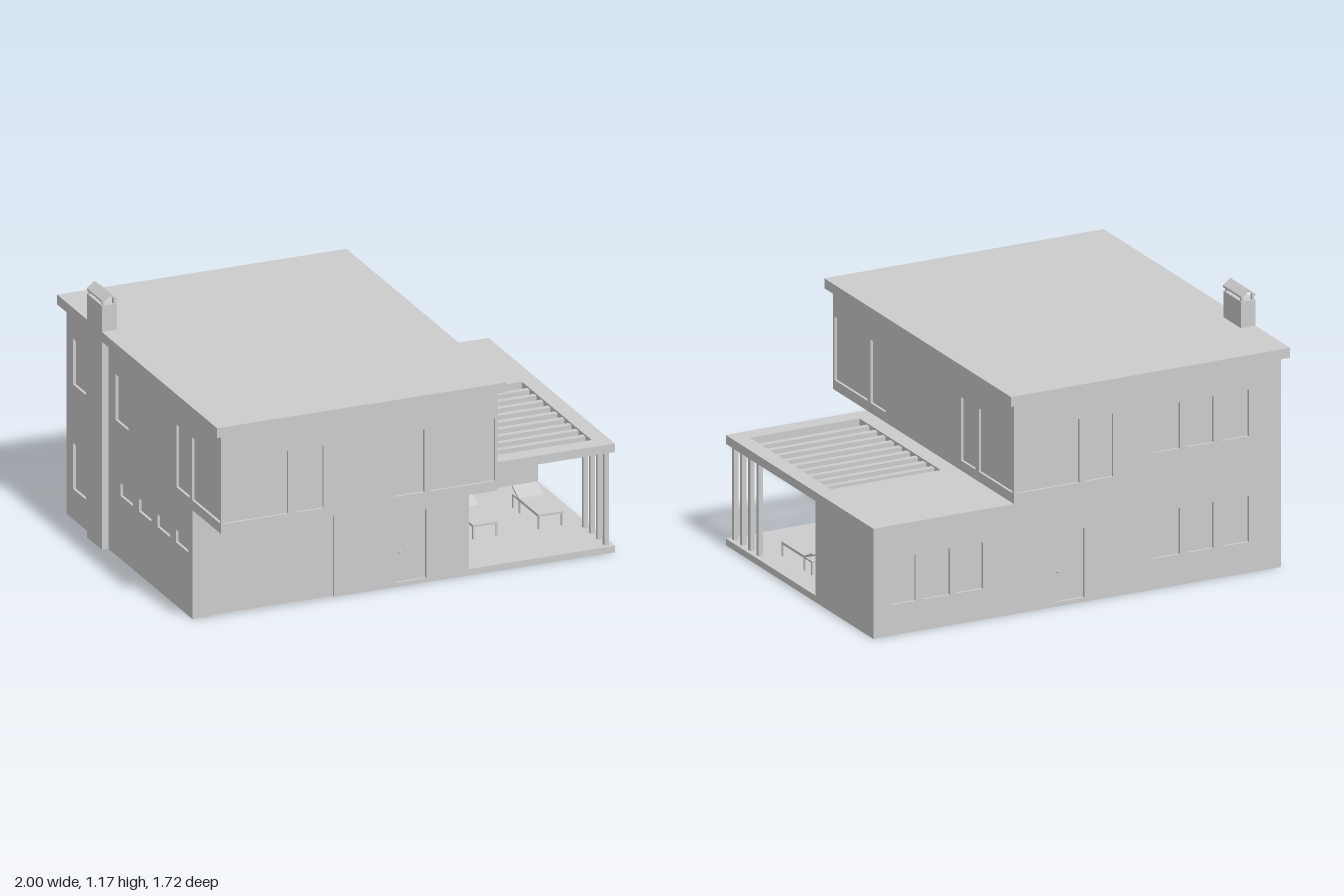
import * as THREE from 'three';

const D = 0.012; // depth of window and door reveals
const mat = new THREE.MeshStandardMaterial({ color: 0xcccccc, flatShading: true });

function add(parent, name, geo) {
  const mesh = new THREE.Mesh(geo, mat);
  mesh.name = name;
  parent.add(mesh);
  return mesh;
}

// box given by its extents
function box(parent, name, x0, x1, y0, y1, z0, z1) {
  const g = new THREE.BoxGeometry(x1 - x0, y1 - y0, z1 - z0);
  g.translate((x0 + x1) / 2, (y0 + y1) / 2, (z0 + z1) / 2);
  return add(parent, name, g);
}

function rect(Type, a0, a1, b0, b1) {
  const p = new Type();
  p.moveTo(a0, b0);
  p.lineTo(a1, b0);
  p.lineTo(a1, b1);
  p.lineTo(a0, b1);
  p.closePath();
  return p;
}

// which way a wall faces: turn about y, and sign of its along-axis in the world
const FACING = {
  front: [0, 1],
  back: [Math.PI, -1],
  left: [Math.PI / 2, -1],
  right: [-Math.PI / 2, 1],
};

// wall skin with openings [a0, a1, y0, y1], all in world coordinates
function wall(parent, name, facing, at, a0, a1, y0, y1, openings) {
  const [turn, s] = FACING[facing];
  const span = (p, q) => (s > 0 ? [p, q] : [-q, -p]);
  const shape = rect(THREE.Shape, ...span(a0, a1), y0, y1);
  for (const [p, q, b, t] of openings) {
    shape.holes.push(rect(THREE.Path, ...span(p, q), b, t));
  }
  const g = new THREE.ExtrudeGeometry(shape, { depth: D, bevelEnabled: false });
  g.translate(0, 0, Math.abs(at) - D);
  g.rotateY(turn);
  // walls whose position lies on the far side of the origin
  if (facing === 'front' && at < 0) g.translate(0, 0, 2 * at);
  return add(parent, name, g);
}

// sun lounger with its centre line at x
function lounger(parent, x) {
  const l = new THREE.Group();
  l.name = 'sunLounger';
  const w = 0.058;
  box(l, 'seat', x - w, x + w, 0.087, 0.097, 0, 0.218);
  for (const s of [-1, 1]) {
    const e = x + s * (w - 0.004);
    box(l, 'sideRail', e - 0.004, e + 0.004, 0.085, 0.093, -0.065, 0.218);
    for (const z of [0.212, 0.01, -0.06]) {
      box(l, 'leg', e - 0.004, e + 0.004, 0.03, 0.087, z - 0.004, z + 0.004);
    }
  }
  box(l, 'endRail', x - w, x + w, 0.085, 0.093, -0.065, -0.057);
  const back = add(l, 'backrest', new THREE.BoxGeometry(2 * w, 0.008, 0.084));
  back.position.set(x, 0.11, -0.029);
  back.rotation.x = Math.atan2(0.035, 0.075);
  parent.add(l);
}

export function createModel() {
  const house = new THREE.Group();
  house.name = 'house';

  // solid cores, whose faces form the glass and door leaves
  box(house, 'groundFloorCore', -0.97 + D, 0.32, 0, 0.5, -0.83 + D, 0.525 - D);
  box(house, 'annexCore', 0.32, 1, 0, 0.5, -0.83 + D, -0.3 - D);
  box(house, 'upperFloorCore', -0.97 + D, 0.32 - D, 0.5, 0.955, -0.83 + D, 0.83 - D);

  // ground floor walls
  const low = [0.14, 0.35], high = [0.62, 0.83], big = [0.545, 0.833];
  const door = [-0.02, 0.12, 0.02, 0.335];
  const backSmall = [[-0.816, -0.687], [-0.645, -0.516], [-0.482, -0.353]];
  const annexSmall = [[0.47, 0.6], [0.63, 0.76], [0.795, 0.92]];
  wall(house, 'groundFrontWall', 'front', 0.525, -0.97, 0.32, 0, 0.5,
    [[-0.88, -0.31, 0, 0.41], door]);
  wall(house, 'groundBackWall', 'back', -0.83, -0.97, 1, 0, 0.5,
    [...[...backSmall, ...annexSmall].map((w) => [...w, ...low]), door]);
  const garageSlits = [0, 1, 2, 3].map((i) => [-0.25 + i * 0.198, -0.114 + i * 0.198, 0.29, 0.348]);
  wall(house, 'groundRightWall', 'right', -0.97, -0.83, 0.525, 0, 0.5,
    [[-0.756, -0.62, ...low], ...garageSlits]);
  wall(house, 'patioBackWall', 'front', -0.3, 0.32, 1, 0, 0.5,
    [[0.5, 0.64, 0.045, 0.365], [0.665, 0.805, 0.045, 0.365]]);

  // upper floor walls
  wall(house, 'upperFrontWall', 'front', 0.83, -0.97, 0.32, 0.5, 0.955,
    [[-0.958, -0.658], [-0.627, -0.493], [-0.162, -0.022], [0.004, 0.308]].map((w) => [...w, ...big]));
  wall(house, 'upperBackWall', 'back', -0.83, -0.97, 0.32, 0.5, 0.955,
    [...backSmall.map((w) => [...w, ...high]), [-0.16, -0.025, ...big], [0.004, 0.308, ...big]]);
  wall(house, 'upperLeftWall', 'left', 0.32, -0.83, 0.83, 0.5, 0.955,
    [[-0.815, -0.507], [-0.479, -0.342], [0.351, 0.488], [0.516, 0.818]].map((w) => [...w, ...big]));
  wall(house, 'upperRightWall', 'right', -0.97, -0.83, 0.83, 0.5, 0.955,
    [[-0.756, -0.62, ...high], [-0.3, -0.163, ...high], [0.351, 0.488, ...big], [0.516, 0.818, ...big]]);

  // door knobs
  for (const [x, z] of [[0, 0.517], [0.105, -0.822]]) {
    const knob = add(house, 'doorKnob', new THREE.SphereGeometry(0.006, 10, 8));
    knob.position.set(x, 0.155, z);
  }

  // main roof slab
  box(house, 'roof', -1, 0.35, 0.955, 1, -0.86, 0.855);

  // patio floor, roof frame with slats, and posts
  box(house, 'patioFloor', 0.32, 1, 0, 0.03, -0.3, 0.525);
  const frame = rect(THREE.Shape, 0.32, 1, -0.525, 0.3);
  frame.holes.push(rect(THREE.Path, 0.395, 0.925, -0.446, 0.299));
  const frameGeo = new THREE.ExtrudeGeometry(frame, { depth: 0.04, bevelEnabled: false });
  frameGeo.rotateX(-Math.PI / 2).translate(0, 0.46, 0);
  add(house, 'patioRoofFrame', frameGeo);
  for (let i = 0; i < 9; i++) {
    const z = -0.243 + i * 0.0747;
    box(house, 'slat', 0.395, 0.925, 0.46, 0.492, z, z + 0.027);
  }
  for (let i = 0; i < 4; i++) {
    const z = 0.484 - i * 0.075;
    box(house, 'patioPost', 0.961, 0.982, 0.03, 0.46, z, z + 0.02);
  }
  lounger(house, 0.53);
  lounger(house, 0.835);

  // chimney with a small gabled cap on four stubs
  box(house, 'chimney', -1, -0.93, 0, 1.12, -0.54, -0.38);
  for (const x of [-0.99, -0.94]) {
    for (const z of [-0.53, -0.39]) {
      box(house, 'capStub', x - 0.005, x + 0.005, 1.12, 1.145, z - 0.006, z + 0.006);
    }
  }
  const cap = new THREE.Shape();
  [[-1, 1.135], [-0.965, 1.16], [-0.93, 1.135], [-0.93, 1.144], [-0.965, 1.172], [-1, 1.144]]
    .forEach(([x, y], i) => (i ? cap.lineTo(x, y) : cap.moveTo(x, y)));
  const capGeo = new THREE.ExtrudeGeometry(cap, { depth: 0.164, bevelEnabled: false });
  add(house, 'chimneyCap', capGeo.translate(0, 0, -0.541));

  return house;
}
